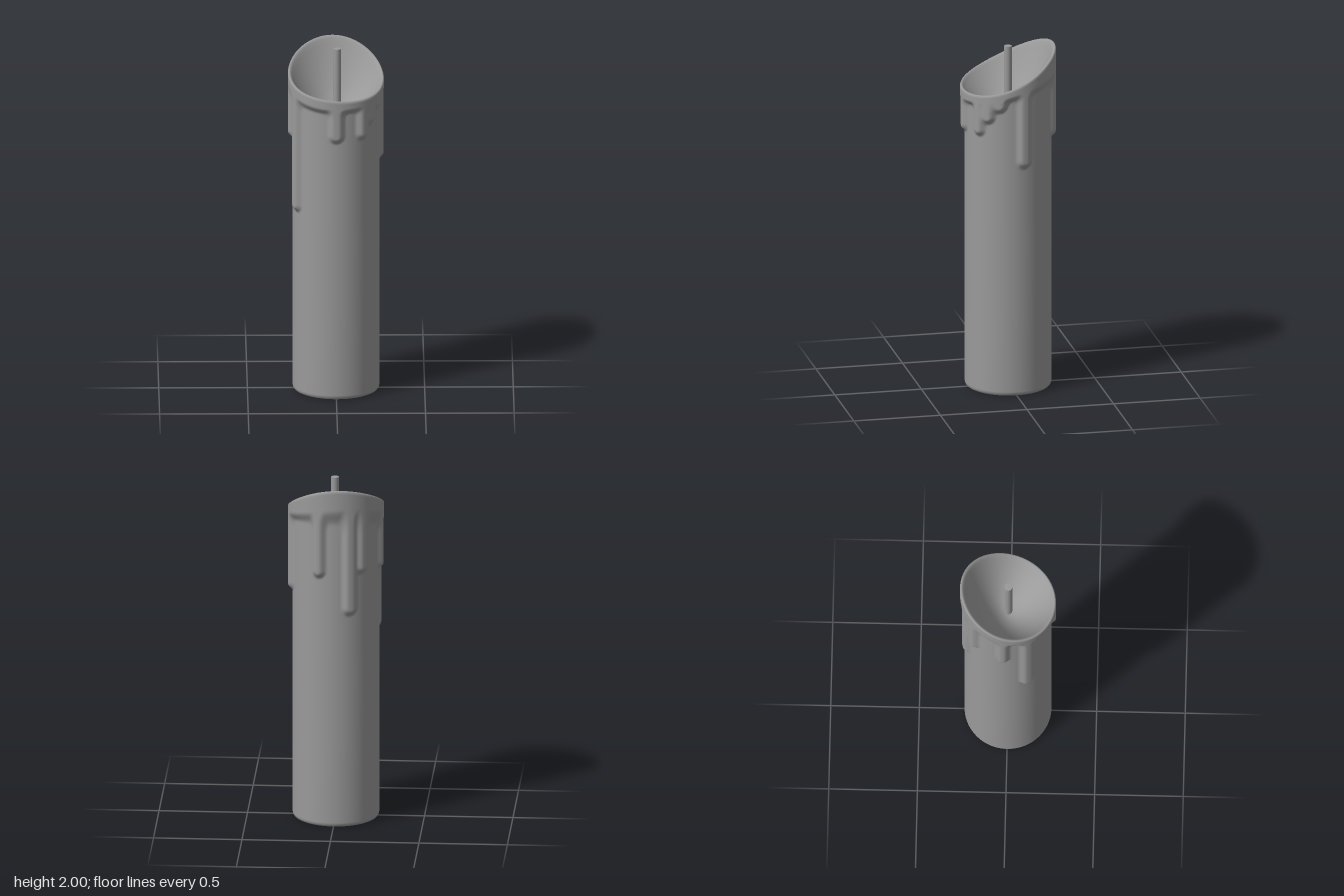
import * as THREE from 'three';

const SEGS = 160;
const BODY_R = 0.245, WAX = 0.026, BOWL_Y = 1.61;

// Drips of wax: angle from +z towards +x, height of the lowest point, half width
const DRIPS = [
  [0, 1.52, 0.04], [0.64, 1.53, 0.036], [0.88, 1.61, 0.04], [1.15, 1.68, 0.045],
  [1.74, 1.35, 0.038], [2.8, 1.48, 0.034], [-2.76, 1.26, 0.038],
  [-2.45, 1.5, 0.035], [-1.67, 1.48, 0.034], [-1.1, 1.08, 0.038],
];

// Slanted, slightly scooped rim and the lower edge of the wax collar
const rimY = (a) => 1.85 - 0.115 * Math.cos(a) + 0.035 * Math.cos(a) ** 2 - 0.018 * Math.sin(a);
const collarY = (a) => 1.76 - 0.065 * Math.cos(a);

function smoothMin(a, b, k) {
  const h = Math.max(k - Math.abs(a - b), 0) / k;
  return Math.min(a, b) - h * h * k / 4;
}

// Outer radius: body plus wax wherever the point lies in the collar or a drip;
// the collar's edge is crisp near the front drips and fades out behind
function outerRadius(a, y) {
  let d = (collarY(a) - y) * (0.65 + 0.35 * Math.cos(a - 0.6));
  for (const [angle, low, w] of DRIPS) {
    const turn = Math.atan2(Math.sin(a - angle), Math.cos(a - angle));
    const below = Math.max(low + w - y, 0);
    d = smoothMin(d, Math.hypot(turn * 0.26, below) - w, 0.03);
  }
  return BODY_R + WAX * (1 - THREE.MathUtils.smoothstep(d, -0.022, 0.014));
}

// Closed rings joined into one smooth surface; each row maps an angle to [radius, y]
function ringSurface(rows) {
  const pos = [], index = [];
  rows.forEach((row, i) => {
    for (let j = 0; j < SEGS; j++) {
      const a = (j / SEGS) * Math.PI * 2;
      const [r, y] = row(a);
      pos.push(r * Math.sin(a), y, r * Math.cos(a));
      if (i === rows.length - 1) continue;
      const p = i * SEGS + j, q = i * SEGS + (j + 1) % SEGS;
      index.push(p, q, q + SEGS, p, q + SEGS, p + SEGS);
    }
  });
  const g = new THREE.BufferGeometry();
  g.setAttribute('position', new THREE.Float32BufferAttribute(pos, 3));
  g.setIndex(index);
  g.computeVertexNormals();
  return g;
}

export function createModel() {
  const group = new THREE.Group();
  const material = new THREE.MeshStandardMaterial({ color: 0x9a9a9a });
  const add = (name, geometry) => {
    const mesh = new THREE.Mesh(geometry, material);
    mesh.name = name;
    group.add(mesh);
    return mesh;
  };

  const rows = [];
  // Rounded foot and plain lower shaft
  for (const [r, y] of [[0.228, 0], [0.236, 0.004], [0.242, 0.012], [BODY_R, 0.025], [BODY_R, 0.5], [BODY_R, 0.98]]) {
    rows.push(() => [r, y]);
  }
  // Upper shaft with collar and drips
  const N = 100;
  for (let i = 0; i <= N; i++) {
    rows.push((a) => {
      const y = 1 + (i / N) * (rimY(a) - 0.01 - 1);
      return [outerRadius(a, y), y];
    });
  }
  // Rounded lip
  for (const [r, drop] of [[0.268, 0.003], [0.263, 0], [0.256, 0.004]]) {
    rows.push((a) => [r, rimY(a) - drop]);
  }
  // Hollow melted down towards the wick
  const M = 24;
  for (let i = 0; i <= M; i++) {
    const t = 1 - i / M;
    rows.push((a) => [0.249 * t, BOWL_Y + (rimY(a) - 0.014 - BOWL_Y) * t ** 1.8]);
  }
  add('candleBody', ringSurface(rows));

  // Flat underside
  add('base', new THREE.CircleGeometry(0.228, SEGS)).rotation.x = Math.PI / 2;

  // Wick standing in the hollow
  add('wick', new THREE.CylinderGeometry(0.022, 0.022, 0.45, 24)).position.set(0.006, 1.775, 0.002);

  return group;
}
